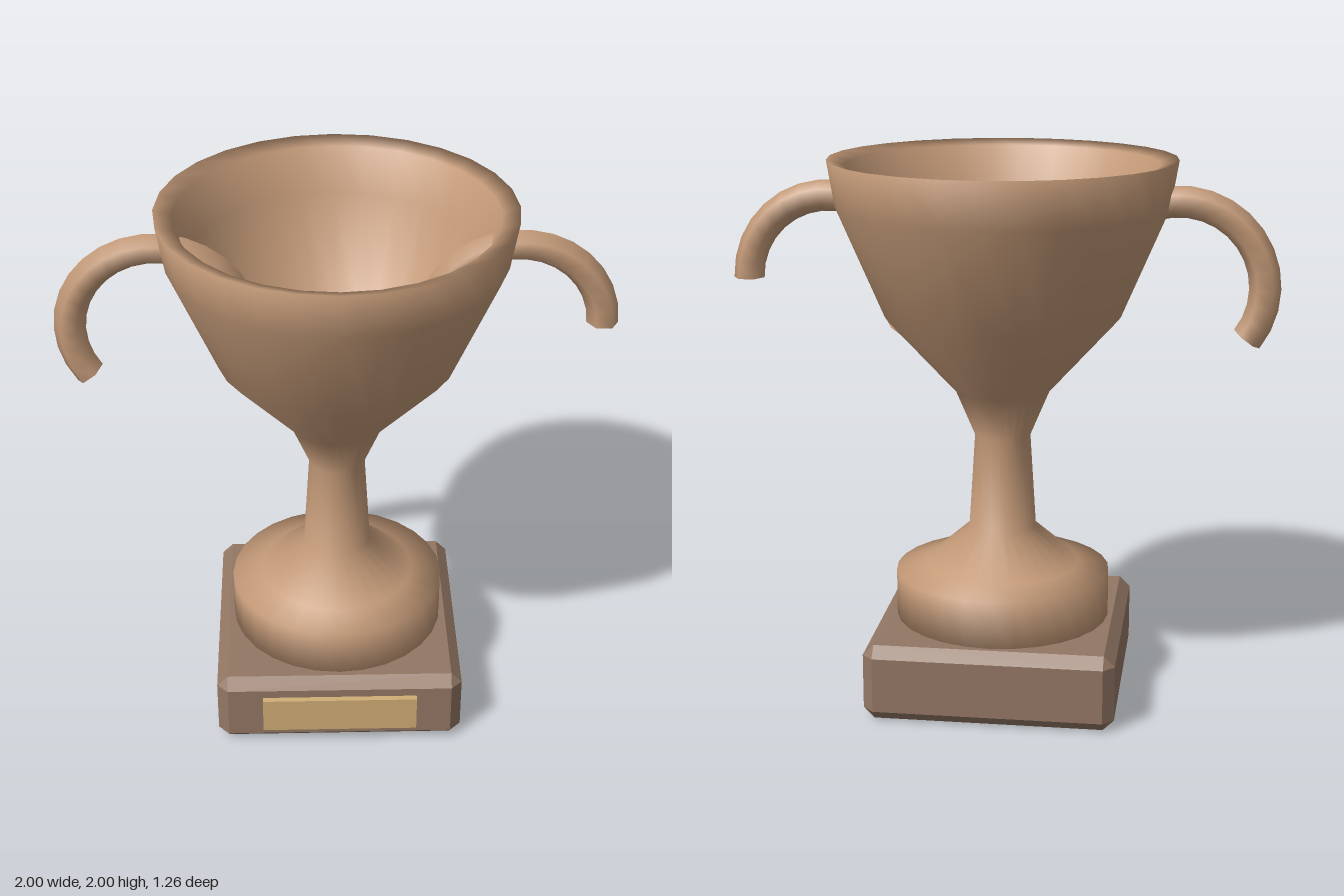
import * as THREE from 'three';
import { ConvexGeometry } from 'three/addons/geometries/ConvexGeometry.js';

const cupMaterial = new THREE.MeshStandardMaterial({ color: 0xc49a78, side: THREE.DoubleSide });
const plinthMaterial = new THREE.MeshStandardMaterial({ color: 0x937764 });
const plaqueMaterial = new THREE.MeshStandardMaterial({ color: 0xd0ae76 });

function part(name, geometry, material, x = 0, y = 0, z = 0) {
  const mesh = new THREE.Mesh(geometry, material);
  mesh.name = name;
  mesh.position.set(x, y, z);
  return mesh;
}

// Box with every edge cut at 45 degrees
function chamferedBox(w, h, d, c) {
  const points = [];
  for (const sx of [-1, 1]) for (const sy of [-1, 1]) for (const sz of [-1, 1]) {
    const x = w / 2, y = h / 2, z = d / 2;
    points.push(
      new THREE.Vector3(sx * x, sy * (y - c), sz * (z - c)),
      new THREE.Vector3(sx * (x - c), sy * y, sz * (z - c)),
      new THREE.Vector3(sx * (x - c), sy * (y - c), sz * z));
  }
  return new ConvexGeometry(points);
}

export function createModel() {
  const model = new THREE.Group();
  model.name = 'trophy';

  // Plinth and its plate
  model.add(part('plinth', chamferedBox(0.916, 0.285, 0.916, 0.04), plinthMaterial, 0, 0.1425));
  model.add(part('plaque', new THREE.BoxGeometry(0.575, 0.14, 0.06), plaqueMaterial, 0, 0.143, 0.45));

  // Foot (sunk into the plinth), stem and bowl: up the outside, over the rim, down the inside
  const profile = [
    [0, 0.25], [0.4, 0.25], [0.4, 0.46], [0.287, 0.488], [0.125, 0.63], [0.103, 0.98],
    [0.173, 1.147], [0.43, 1.43], [0.6, 1.83], [0.628, 2],
    [0.565, 1.98], [0.52, 1.82], [0.36, 1.46], [0.12, 1.27], [0, 1.26],
  ].map(([r, y]) => new THREE.Vector2(r, y));
  model.add(part('cup', new THREE.LatheGeometry(profile, 28), cupMaterial));

  // Handles: the same open arc on both sides, turned the same way
  const arc = new THREE.TorusGeometry(0.309, 0.057, 6, 18, Math.PI * 1.2);
  model.add(part('leftHandle', arc, cupMaterial, 0.634, 1.546));
  model.add(part('rightHandle', arc, cupMaterial, -0.634, 1.546));

  return model;
}
